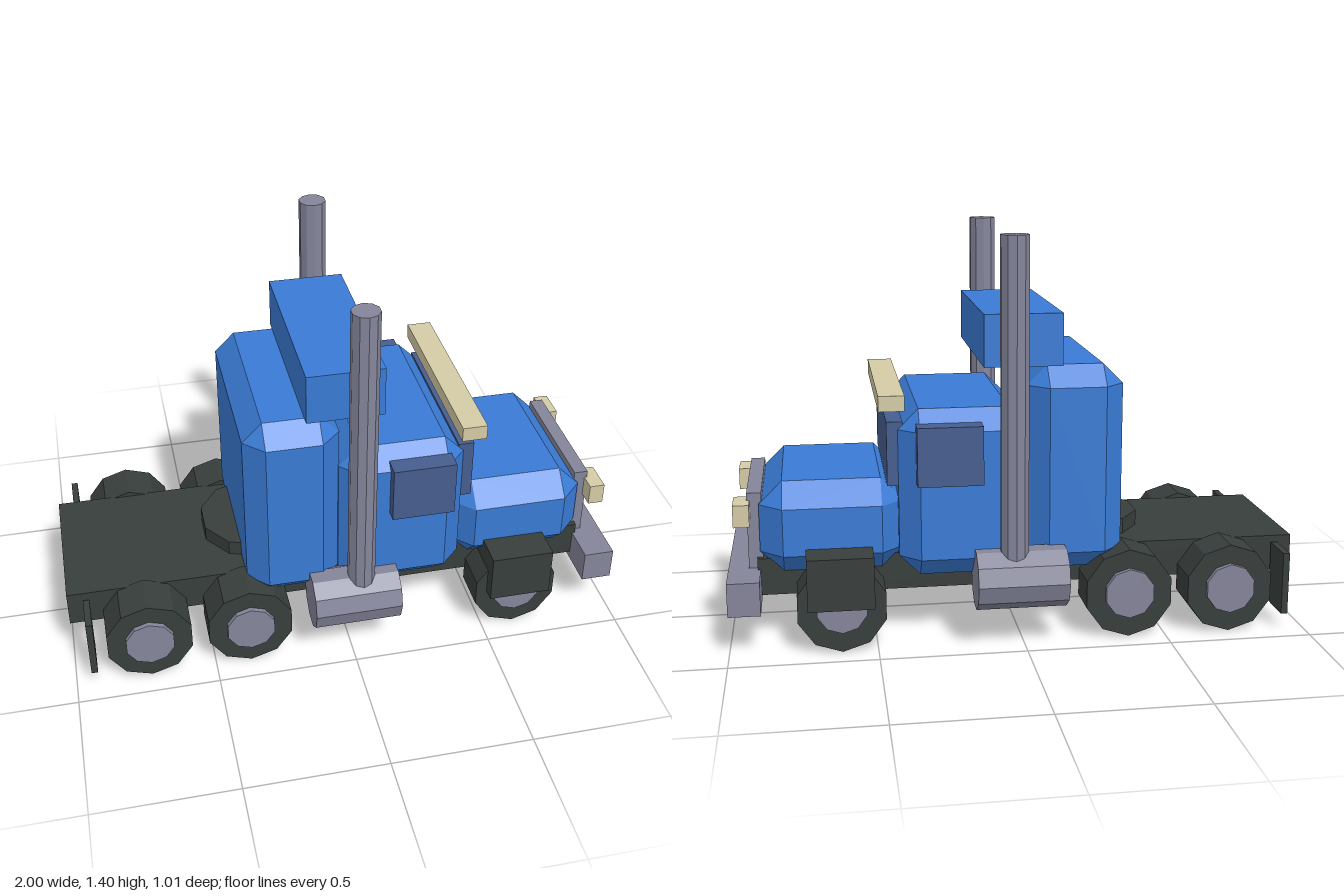
import * as THREE from 'three';
import { ConvexGeometry } from 'three/addons/geometries/ConvexGeometry.js';

export function createModel() {
  const truck = new THREE.Group();
  truck.name = 'tractorTruck';

  const material = (name, color) => {
    const m = new THREE.MeshStandardMaterial({ color, flatShading: true });
    m.name = name;
    return m;
  };
  const blue = material('bluePaint', 0x3a7bd5);
  const grey = material('greyMetal', 0x84859a);
  const dark = material('darkRubber', 0x373e3c);
  const glass = material('blueGlass', 0x465d8e);
  const cream = material('creamLamp', 0xd4cba6);

  const add = (name, geometry, mat) => {
    const mesh = new THREE.Mesh(geometry, mat);
    mesh.name = name;
    truck.add(mesh);
    return mesh;
  };

  // Box given by its limits on each axis
  const box = (name, mat, [x0, x1], [y0, y1], [z0, z1]) => {
    const mesh = add(name, new THREE.BoxGeometry(x1 - x0, y1 - y0, z1 - z0), mat);
    mesh.position.set((x0 + x1) / 2, (y0 + y1) / 2, (z0 + z1) / 2);
    return mesh;
  };

  // Box centred on z = 0 with every edge and corner chamfered by c
  const chamferedBox = (name, mat, [x0, x1], [y0, y1], halfZ, c) => {
    const h = [(x1 - x0) / 2, (y1 - y0) / 2, halfZ];
    const points = [];
    for (const sx of [-1, 1]) for (const sy of [-1, 1]) for (const sz of [-1, 1]) {
      for (let outer = 0; outer < 3; outer++) {
        const d = h.map((v, i) => (i === outer ? v : v - c));
        points.push(new THREE.Vector3(sx * d[0], sy * d[1], sz * d[2]));
      }
    }
    const mesh = add(name, new ConvexGeometry(points), mat);
    mesh.position.set((x0 + x1) / 2, (y0 + y1) / 2, 0);
  };

  // Ten-sided cylinder along the chosen axis
  const drum = (name, mat, radius, length, axis, x, y, z) => {
    const g = new THREE.CylinderGeometry(radius, radius, length, 10);
    if (axis === 'x') g.rotateZ(Math.PI / 2);
    if (axis === 'z') g.rotateX(Math.PI / 2);
    add(name, g, mat).position.set(x, y, z);
  };

  // Frame and trailer coupling
  box('chassis', dark, [-1, 0.9], [0.165, 0.295], [-0.27, 0.27]);
  drum('couplingPlate', dark, 0.2, 0.1, 'y', -0.285, 0.3, 0);

  // Bodywork
  chamferedBox('sleeper', blue, [-0.36, -0.025], [0.23, 0.95], 0.374, 0.07);
  chamferedBox('cab', blue, [-0.03, 0.417], [0.23, 0.813], 0.387, 0.07);
  chamferedBox('hood', blue, [0.395, 0.89], [0.24, 0.565], 0.34, 0.08);
  box('roofFairing', blue, [-0.145, 0.125], [0.95, 1.13], [-0.338, 0.338]);

  // Front details
  box('windshield', glass, [0.4, 0.455], [0.548, 0.77], [-0.317, 0.317]);
  box('roofLightBar', cream, [0.395, 0.483], [0.815, 0.868], [-0.363, 0.363]);
  box('grille', grey, [0.88, 0.93], [0.25, 0.523], [-0.247, 0.247]);
  box('bumper', grey, [0.89, 1], [0.139, 0.256], [-0.405, 0.405]);

  // Parts repeated on both sides
  for (const s of [-1, 1]) {
    const side = s > 0 ? 'right' : 'left';
    const range = (a, b) => (s > 0 ? [a, b] : [-b, -a]);

    box(side + 'Headlight', cream, [0.92, 0.975], [0.42, 0.497], range(0.192, 0.308));
    box(side + 'Window', glass, [0.138, 0.36], [0.568, 0.77], range(0.36, 0.43));
    box(side + 'Fender', dark, [0.51, 0.735], [0.163, 0.343], range(0.26, 0.462));
    box(side + 'MudFlap', dark, [-0.945, -0.922], [0.052, 0.275], range(0.285, 0.42));
    drum(side + 'ExhaustStack', grey, 0.049, 1.1, 'y', 0.033, 0.85, s * 0.415);
    drum(side + 'FuelTank', grey, 0.106, 0.312, 'x', 0.01, 0.231, s * 0.397);

    [-0.73, -0.37, 0.62].forEach((x, i) => {
      const n = side + 'Wheel' + (i + 1);
      drum(n + 'Tyre', dark, 0.157, 0.152, 'z', x, 0.157, s * 0.339);
      drum(n + 'Hub', grey, 0.088, 0.08, 'z', x, 0.16, s * 0.393);
    });
  }

  return truck;
}
